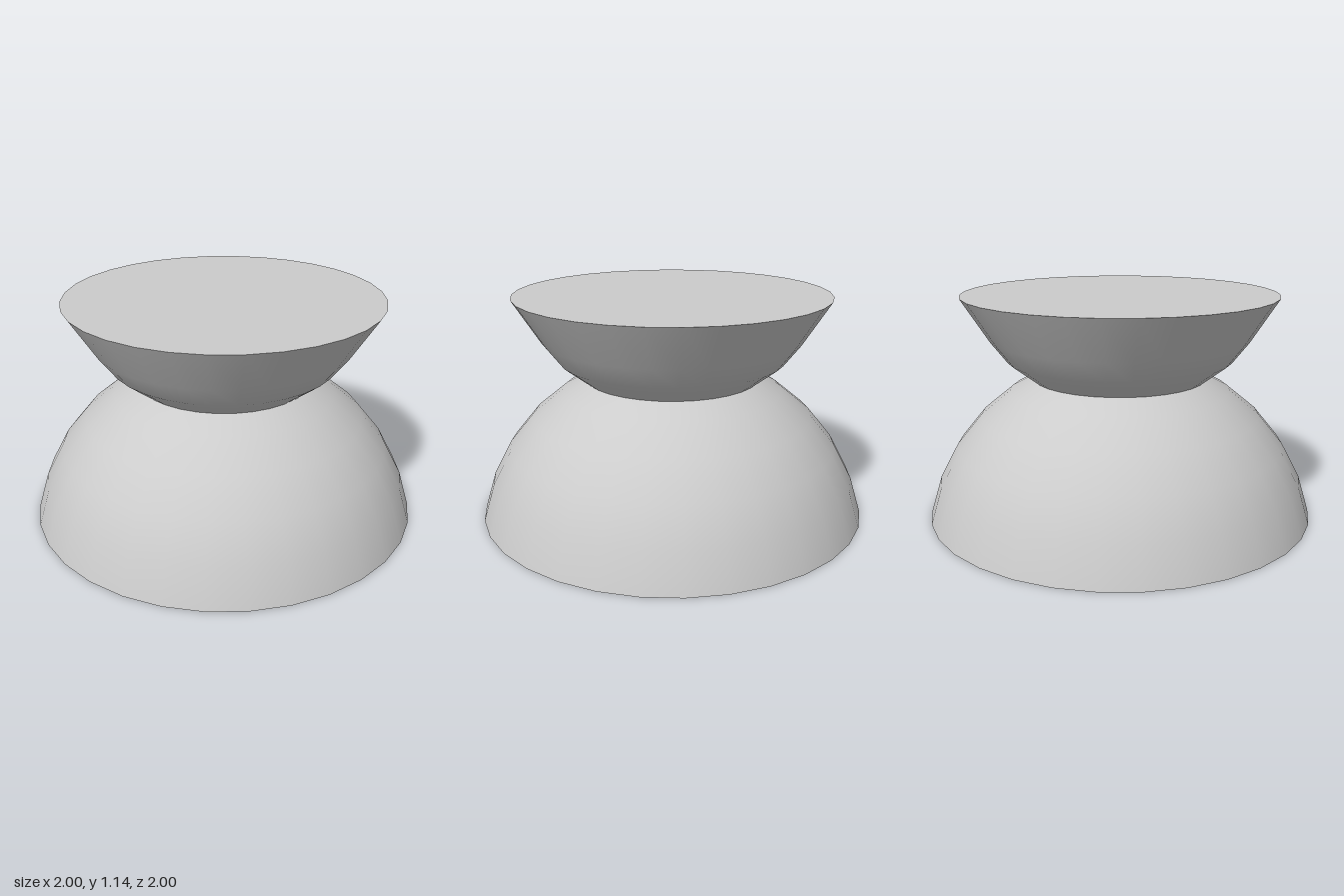
import * as THREE from 'three';

const SIDES = 32;
const NECK = { r: 0.45, y: 0.71 };
const TOP = { r: 0.805, y: 1.14 };

const material = new THREE.MeshStandardMaterial({ color: 0xcccccc, side: THREE.DoubleSide });

export function createModel() {
  const group = new THREE.Group();

  const add = (name, geometry) => {
    const mesh = new THREE.Mesh(geometry, material);
    mesh.name = name;
    group.add(mesh);
    return mesh;
  };
  const lathe = (points) => new THREE.LatheGeometry(points, SIDES);

  // Hollow dome base: a slice of a sphere whose centre lies below the ground
  const R = 1.02, centreY = -0.2, domeProfile = [];
  for (let i = 1; i <= 5; i++) {
    const a = (i * Math.PI) / 16;
    domeProfile.push(new THREE.Vector2(R * Math.cos(a), Math.max(0, centreY + R * Math.sin(a))));
  }
  domeProfile.push(new THREE.Vector2(NECK.r, NECK.y));
  add('domeBase', lathe(domeProfile));

  // Flared bowl rising from the neck
  add('bowlWall', lathe([
    new THREE.Vector2(NECK.r, NECK.y),
    new THREE.Vector2(0.58, 0.81),
    new THREE.Vector2(0.665, 0.92),
    new THREE.Vector2(TOP.r, TOP.y),
  ]));

  // Flat discs closing the bowl above and below
  const disc = (name, { r, y }, turn) => {
    const mesh = add(name, new THREE.CircleGeometry(r, SIDES));
    mesh.rotation.x = turn;
    mesh.position.y = y;
  };
  disc('bowlTop', TOP, -Math.PI / 2);
  disc('bowlBottom', NECK, Math.PI / 2);

  return group;
}
